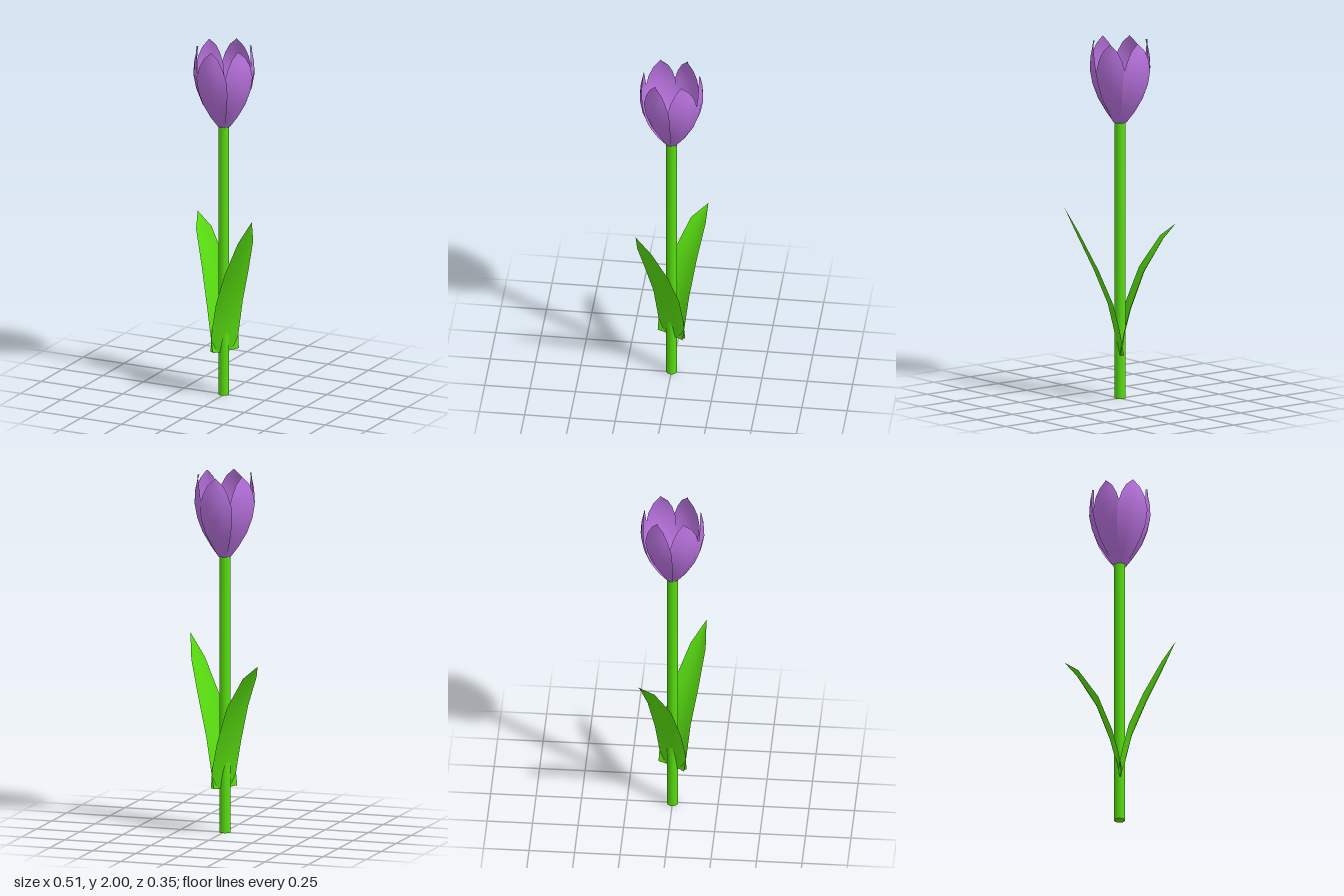
import * as THREE from 'three';

const green = new THREE.MeshStandardMaterial({ color: 0x58dc10 });
const leafGreen = new THREE.MeshStandardMaterial({ color: 0x58dc10, side: THREE.DoubleSide });
const purple = new THREE.MeshStandardMaterial({ color: 0xb872de, side: THREE.DoubleSide });

// Smooth sheet: point(row, s) gives a position for s from -1 (one edge) to 1 (other edge)
function sheet(rows, columns, point) {
  const positions = [], index = [];
  rows.forEach((row, i) => {
    for (let j = 0; j <= columns; j++) {
      positions.push(...point(row, (2 * j) / columns - 1));
      if (i && j) {
        const d = i * (columns + 1) + j, b = d - columns - 1;
        index.push(b - 1, b, d, b - 1, d, d - 1);
      }
    }
  });
  const geometry = new THREE.BufferGeometry();
  geometry.setAttribute('position', new THREE.Float32BufferAttribute(positions, 3));
  geometry.setIndex(index);
  geometry.computeVertexNormals();
  return geometry;
}

function addMesh(parent, name, geometry, material) {
  const mesh = new THREE.Mesh(geometry, material);
  mesh.name = name;
  parent.add(mesh);
  return mesh;
}

// Petal rows: height, radius from the axis, half angle in degrees
const petalRows = [
  [1.54, 0.036, 38], [1.6, 0.08, 34], [1.68, 0.127, 34], [1.76, 0.157, 34], [1.84, 0.172, 32],
  [1.91, 0.168, 25], [1.96, 0.158, 16], [2.0, 0.15, 0],
];

// Leaf rows: height, distance outward, half width, sideways shift
const tallLeaf = [
  [0.245, 0.005, 0.085, 0], [0.38, 0.03, 0.09, 0], [0.53, 0.065, 0.088, 0],
  [0.72, 0.142, 0.078, -0.005], [0.93, 0.24, 0.05, -0.012], [1.07, 0.303, 0, -0.018],
];
const shortLeaf = [
  [0.245, 0.005, 0.085, 0], [0.36, 0.025, 0.09, 0], [0.5, 0.06, 0.088, 0],
  [0.71, 0.135, 0.078, -0.005], [0.89, 0.24, 0.05, -0.012], [0.97, 0.308, 0, -0.022],
];

export function createModel() {
  const model = new THREE.Group();
  model.name = 'tulip';

  // Stem with a domed tip inside the flower
  const stem = new THREE.Group();
  stem.name = 'stem';
  stem.position.x = -0.005;
  model.add(stem);
  addMesh(stem, 'stalk', new THREE.CylinderGeometry(0.03, 0.03, 1.56, 20), green).position.y = 0.78;
  addMesh(stem, 'stalkTip', new THREE.SphereGeometry(0.03, 20, 8, 0, Math.PI * 2, 0, Math.PI / 2), green)
    .position.y = 1.56;

  // Six overlapping petals, the front and back ones slightly outside
  const flower = new THREE.Group();
  flower.name = 'flower';
  flower.position.x = -0.004;
  model.add(flower);
  for (let k = 0; k < 6; k++) {
    const outer = k % 3 === 0;
    const geometry = sheet(petalRows, 4, ([y, r, half], s) => {
      const a = THREE.MathUtils.degToRad(half) * s;
      // side petals are tucked in along one edge so neighbours overlap cleanly
      const radius = r + (y > 1.55 ? (outer ? 0.003 : -0.004 + 0.005 * s) : 0);
      return [radius * Math.sin(a), y, radius * Math.cos(a)];
    });
    addMesh(flower, 'petal', geometry, purple).rotation.y = (k * Math.PI) / 3;
  }

  // Two cupped leaves on opposite sides of the stem
  [tallLeaf, shortLeaf].forEach((rows, k) => {
    const geometry = sheet(rows, 4, ([y, out, half, shift], s) => [
      half * s + shift, y + 0.1 * half * s * s, out - 0.2 * half * s * s,
    ]);
    addMesh(model, k ? 'shortLeaf' : 'tallLeaf', geometry, leafGreen)
      .rotation.y = Math.PI / 3 + k * Math.PI;
  });

  return model;
}
